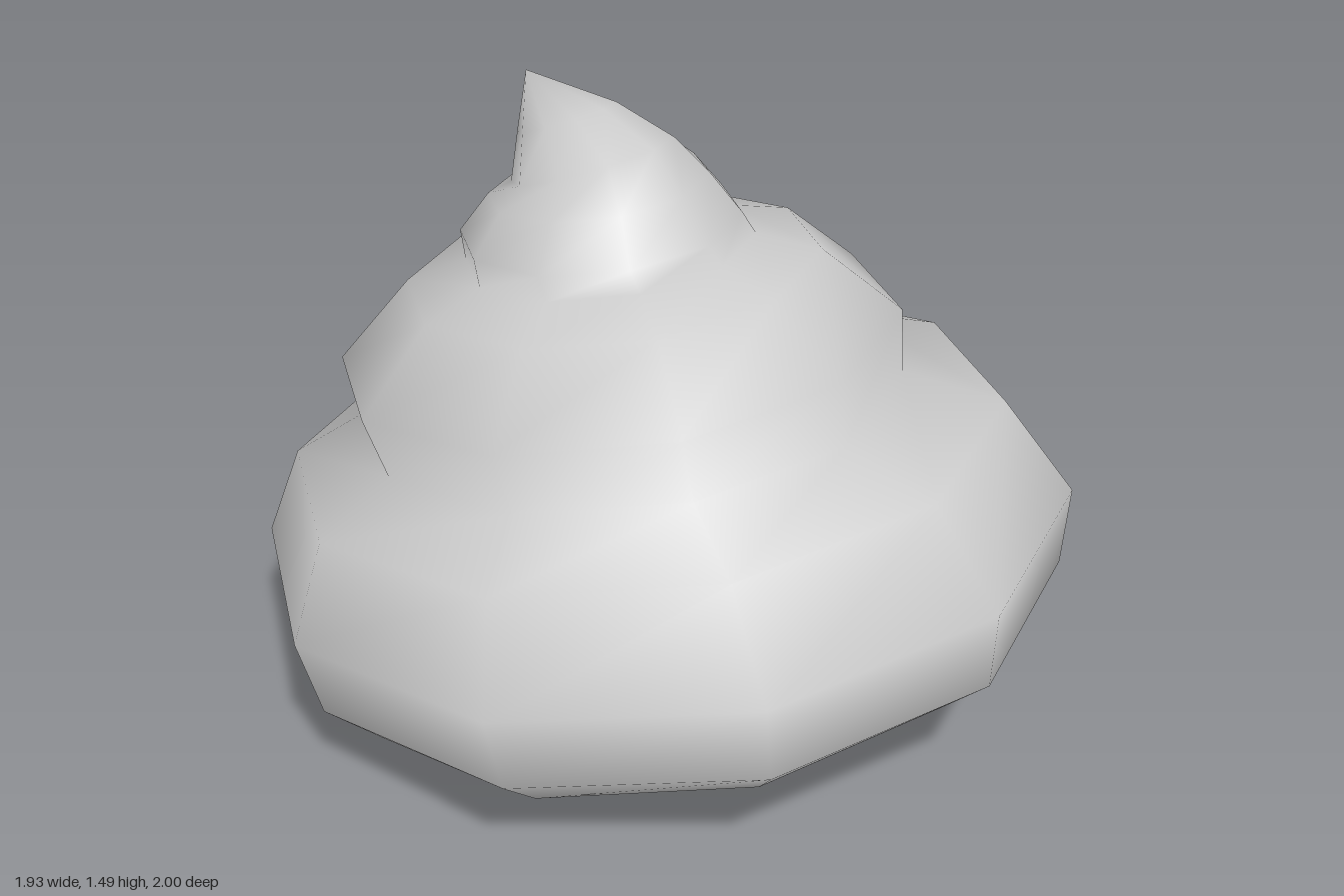
import * as THREE from 'three';

const SIDES = 10;
const PHASE = THREE.MathUtils.degToRad(3);

// Each tilted ring: front z, front y, back z, back y, sideways shift
const RINGS = [
  [0.48, 0.21, -0.42, 0.05, 0],      // underside
  [0.87, 0.30, -0.78, 0.00, 0],      // bottom tier
  [0.99, 0.42, -0.93, 0.13, 0],
  [1.00, 0.62, -1.00, 0.32, 0],
  [0.81, 0.84, -0.94, 0.53, 0],
  [0.55, 0.885, -0.77, 0.65, 0],     // first crease
  [0.54, 1.05, -0.83, 0.79, -0.01],  // middle tier
  [0.34, 1.19, -0.66, 1.02, -0.01],
  [0.17, 1.21, -0.53, 1.08, 0],      // second crease
  [0.13, 1.25, -0.55, 1.15, 0],      // top tier
  [0.05, 1.35, -0.48, 1.25, 0],
  [-0.04, 1.44, -0.43, 1.27, 0],     // curl
  [-0.22, 1.48, -0.46, 1.37, 0.02],
];
const BASE = [0, 0.12, 0.03];
const TIP = [0.04, 1.49, -0.5];

function swirlGeometry() {
  const positions = [];
  const index = [];
  for (const [zf, yf, zb, yb, x] of RINGS) {
    const r = (zf - zb) / 2;
    for (let k = 0; k < SIDES; k++) {
      const a = PHASE + (k / SIDES) * Math.PI * 2;
      positions.push(
        x + r * Math.sin(a),
        (yf + yb) / 2 + ((yf - yb) / 2) * Math.cos(a),
        (zf + zb) / 2 + r * Math.cos(a)
      );
    }
  }
  const base = RINGS.length * SIDES;
  const tip = base + 1;
  positions.push(...BASE, ...TIP);

  // Skin between neighbouring rings, closed by fans at the base and tip
  const last = (RINGS.length - 1) * SIDES;
  for (let k = 0; k < SIDES; k++) {
    const n = (k + 1) % SIDES;
    for (let i = 0; i < last; i += SIDES) {
      index.push(i + k, i + n, i + SIDES + n, i + k, i + SIDES + n, i + SIDES + k);
    }
    index.push(base, n, k, last + k, last + n, tip);
  }

  const geometry = new THREE.BufferGeometry();
  geometry.setAttribute('position', new THREE.Float32BufferAttribute(positions, 3));
  geometry.setIndex(index);
  geometry.computeVertexNormals();
  return geometry;
}

export function createModel() {
  const group = new THREE.Group();
  group.name = 'swirlPile';
  const swirl = new THREE.Mesh(
    swirlGeometry(),
    new THREE.MeshStandardMaterial({ color: 0xcccccc })
  );
  swirl.name = 'swirl';
  group.add(swirl);
  return group;
}
